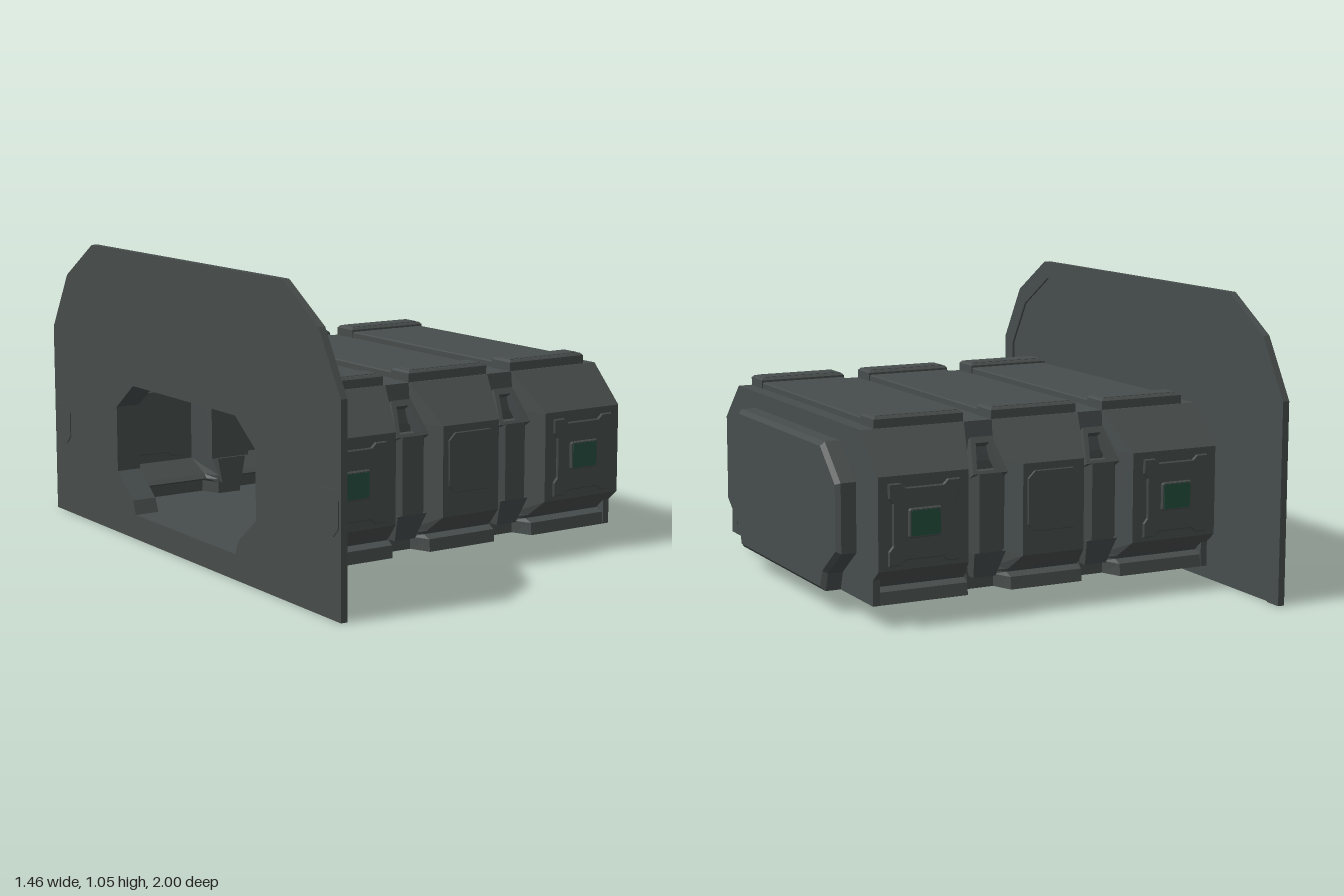
import * as THREE from 'three';

const gray = new THREE.MeshStandardMaterial({ color: 0x474d4c, side: THREE.DoubleSide });
gray.name = 'dark gray metal';
const green = new THREE.MeshStandardMaterial({ color: 0x25503f });
green.name = 'green glass';

const mirror = (half) => [...half, ...half.map(([u, v]) => [-u, v]).reverse()];
const toShape = (pts) => new THREE.Shape(pts.map(([u, v]) => new THREE.Vector2(u, v)));

function add(parent, name, geo, mat = gray) {
  const m = new THREE.Mesh(geo, mat);
  m.name = name;
  parent.add(m);
  return m;
}

// Outline extruded from depth 0 to d, with a chamfer on its edges and optional holes
function slab(pts, d, bevel = 0, holes = []) {
  const s = toShape(pts);
  holes.forEach((h) => s.holes.push(toShape(h)));
  const g = new THREE.ExtrudeGeometry(s, {
    depth: d - 2 * bevel, bevelEnabled: bevel > 0, bevelSize: bevel,
    bevelThickness: bevel, bevelOffset: -bevel, bevelSegments: 1,
  });
  return g.translate(0, 0, bevel);
}

// Slab standing across x, from x0 to x1
const crossSlab = (pts, x0, x1, bevel, holes) =>
  slab(pts, x1 - x0, bevel, holes).rotateY(Math.PI / 2).translate(x0, 0, 0);

// Slab lying flat, given x and z limits, from y0 to y1
const flatSlab = (x0, x1, z0, z1, y0, y1, bevel) =>
  slab([[x0, -z0], [x0, -z1], [x1, -z1], [x1, -z0]].reverse(), y1 - y0, bevel)
    .rotateX(-Math.PI / 2).translate(0, y0, 0);

// Rectangle with cut corners
function octagon(cx, cy, w, h, c) {
  return [[-w + c, -h], [w - c, -h], [w, -h + c], [w, h - c], [w - c, h], [-w + c, h], [-w, h - c], [-w, -h + c]]
    .map(([u, v]) => [cx + u, cy + v]);
}

// Hull half profile: z, y, z in the grooves, inset along x of the module edge
const hullHalf = [
  [0.555, 0.65, 0.555, 0.001], [0.69, 0.515, 0.57, 0.05], [0.69, 0.2, 0.57, 0.05],
  [0.625, 0.145, 0.57, 0.03], [0.61, 0.13, 0.57, 0.03], [0.64, 0.118, 0.57, 0.03], [0.645, 0.075, 0.57, 0.03],
];
const modules = [[-0.64, -0.255], [-0.16, 0.175], [0.28, 0.66]];

function hullGeometry() {
  const rings = [];
  const ring = (x, full, dir) => {
    const half = hullHalf.map(([z, y, zc, inset]) => [x + dir * inset, y, full ? z : zc]);
    rings.push([...half, ...half.map(([a, y, z]) => [a, y, -z]).reverse()]);
  };
  modules.forEach(([a, b], i) => {
    if (i > 0) ring(a, false, 0);
    ring(a, true, i > 0 ? 1 : 0);
    ring(b, true, i < 2 ? -1 : 0);
    if (i < 2) ring(b, false, 0);
  });
  const pos = [];
  for (let r = 0; r < rings.length - 1; r++) {
    const n = rings[r].length;
    for (let i = 0; i < n; i++) {
      const j = (i + 1) % n;
      const [a, b, c, d] = [rings[r][i], rings[r][j], rings[r + 1][i], rings[r + 1][j]];
      pos.push(...a, ...b, ...c, ...b, ...d, ...c);
    }
  }
  const g = new THREE.BufferGeometry();
  g.setAttribute('position', new THREE.Float32BufferAttribute(pos, 3));
  g.computeVertexNormals();
  return g;
}

// Block whose half width and front depth change from bottom to top
function taperedBlock(y0, w0, z0, y1, w1, z1) {
  const g = new THREE.BoxGeometry(2, 1, 1).toNonIndexed();
  const p = g.attributes.position;
  for (let i = 0; i < p.count; i++) {
    const top = p.getY(i) > 0;
    p.setXYZ(i, p.getX(i) * (top ? w1 : w0), top ? y1 : y0, p.getZ(i) > 0 ? (top ? z1 : z0) : 0.55);
  }
  g.computeVertexNormals();
  return g;
}

// Details of one long side, facing +z
function sideDetails() {
  const side = new THREE.Group();
  // Notched hatches with a green window
  for (const cx of [-0.475, 0.495]) {
    const hatch = new THREE.Group();
    hatch.name = 'windowHatch';
    hatch.position.x = cx;
    const q = [[0.068, 0.122], [0.085, 0.138], [0.13, 0.138], [0.13, 0.088], [0.115, 0.07]];
    const right = [...q, ...q.map(([u, v]) => [u, -v]).reverse()];
    const outline = mirror(right).map(([u, v]) => [u, v + 0.353]);
    add(hatch, 'hatchPlate', slab(outline, 0.011, 0.004).translate(0, 0, 0.686));
    add(hatch, 'windowFrame', slab(octagon(0, 0.355, 0.061, 0.05, 0.006), 0.02, 0.004).translate(0, 0, 0.686));
    add(hatch, 'window', slab(octagon(0, 0.355, 0.053, 0.043, 0.005), 0.004).translate(0, 0, 0.7035), green);
    side.add(hatch);
  }
  add(side, 'middlePanel', slab(octagon(0.012, 0.385, 0.1, 0.105, 0.025), 0.009, 0.003).translate(0, 0, 0.685));

  // Posts in the grooves, with an open bracket above and a wedge below
  for (const cx of [-0.207, 0.228]) {
    const post = new THREE.Group();
    post.name = 'groovePost';
    post.position.x = cx;
    const plan = mirror([[0.08, -0.56], [0.07, -0.615], [0.042, -0.65]]);
    add(post, 'postColumn', slab(plan, 0.27).rotateX(-Math.PI / 2).translate(0, 0.215, 0));
    const frame = slab(
      [[-0.066, 0], [0.066, 0], [0.04, 0.135], [-0.04, 0.135]], 0.05, 0,
      [[[-0.048, 0.012], [-0.026, 0.112], [0.026, 0.112], [0.048, 0.012]]],
    );
    add(post, 'postBracket', frame.translate(0, 0, -0.05).rotateX(-0.567).translate(0, 0.485, 0.65));
    add(post, 'postWedge', taperedBlock(0.12, 0.042, 0.605, 0.215, 0.06, 0.648));
    side.add(post);
  }

  // Small end brackets at the foot
  for (const x of [-0.628, 0.648]) {
    add(side, 'footBracket', new THREE.BoxGeometry(0.025, 0.125, 0.05).translate(x, 0.138, 0.622));
  }
  return side;
}

export function createModel() {
  const model = new THREE.Group();
  model.name = 'wallMountedPod';

  const portHalf = [[0.38, 0.075], [0.4, 0.14], [0.515, 0.23], [0.515, 0.47], [0.385, 0.59]];
  const port = mirror(portHalf);
  const opening = mirror(portHalf.map(([z, y]) => [z - 0.025, y < 0.1 ? 0.09 : y > 0.5 ? y - 0.025 : y]));

  // Hollow hull, open toward the wall
  const hull = new THREE.Group();
  hull.name = 'hull';
  add(hull, 'hullShell', hullGeometry());
  const section = mirror(hullHalf.map(([z, y]) => [z, y]));
  add(hull, 'openEnd', crossSlab(section, -0.64, -0.636, 0, [opening]));
  add(hull, 'closedEnd', crossSlab(section, 0.656, 0.66, 0));
  add(hull, 'endCap', crossSlab(port, 0.64, 0.73, 0.015));
  add(hull, 'collar', crossSlab(port, -0.712, -0.636, 0, [opening]));
  model.add(hull);

  // Roof panels with raised blocks at both ends
  for (const [x0, x1] of [[-0.585, -0.26], [-0.155, 0.175], [0.28, 0.61]]) {
    const roof = new THREE.Group();
    roof.name = 'roofModule';
    add(roof, 'roofPanel', flatSlab(x0 + 0.004, x1 - 0.004, -0.45, 0.45, 0.645, 0.673, 0.004));
    for (const s of [-1, 1]) {
      const z = s * 0.498;
      add(roof, 'roofBlock', flatSlab(x0, x1, z - 0.052, z + 0.052, 0.64, 0.688, 0.008));
      add(roof, 'roofBlockLid', flatSlab(x0 + 0.015, x1 - 0.015, z - 0.035, z + 0.035, 0.685, 0.691, 0.002));
    }
    model.add(roof);
  }

  const front = sideDetails();
  front.name = 'frontSide';
  const back = sideDetails();
  back.name = 'backSide';
  back.rotation.y = Math.PI;
  back.position.x = 0.02;
  model.add(front, back);

  // Wall plate with a raised rim around its edge
  const wallOutline = mirror([[1, 0], [1, 0.71], [0.875, 0.92], [0.665, 1.05]]);
  const rimInner = mirror([[0.935, 0], [0.935, 0.69], [0.83, 0.865], [0.64, 0.985]]);
  const wall = new THREE.Group();
  wall.name = 'wall';
  add(wall, 'wallPlate', crossSlab(wallOutline, -0.728, -0.711, 0, [opening]));
  const rim = [...wallOutline.slice(0, 8), ...rimInner.slice().reverse()];
  add(wall, 'wallRim', crossSlab(rim, -0.712, -0.703, 0));
  for (const s of [-1, 1]) {
    add(wall, 'wallLatch', crossSlab(octagon(s * 0.93, 0.345, 0.06, 0.075, 0.03), -0.732, -0.727, 0));
  }
  model.add(wall);
  return model;
}
